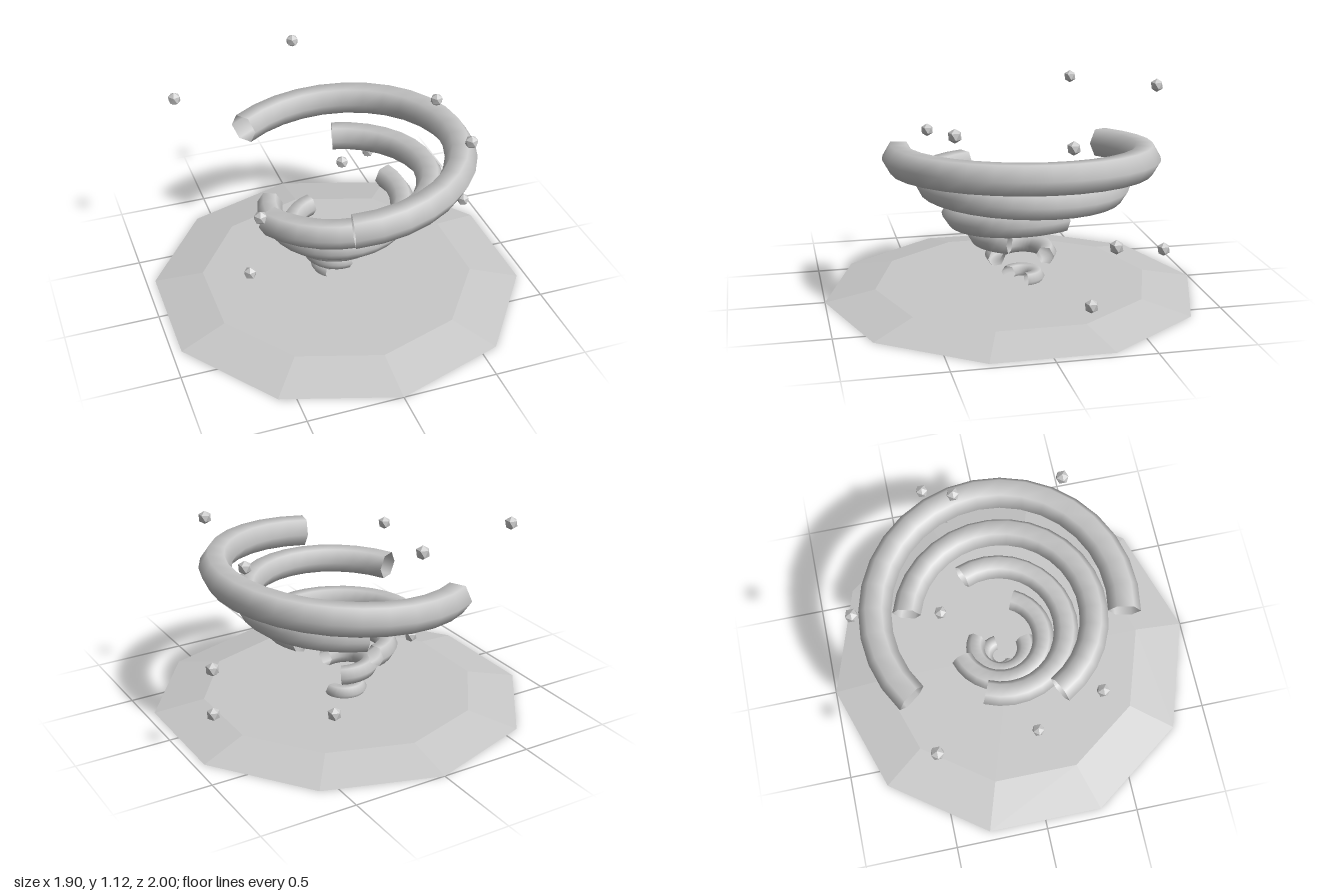
import * as THREE from 'three';

export function createModel() {
  const model = new THREE.Group();
  model.name = 'whirlwind';
  const grey = new THREE.MeshStandardMaterial({ color: 0xc8c8c8, side: THREE.DoubleSide });
  grey.name = 'dust grey';

  const add = (name, geometry, x, y, z, parent = model) => {
    const mesh = new THREE.Mesh(geometry, grey);
    mesh.name = name;
    mesh.position.set(x, y, z);
    parent.add(mesh);
    return mesh;
  };

  // Ten-sided ground slab with sloping, flat-shaded sides
  const slab = new THREE.CylinderGeometry(0.735, 1, 0.053, 10).toNonIndexed();
  slab.computeVertexNormals();
  add('groundSlab', slab, 0, 0.0265, 0);

  // Funnel of open hexagonal tube arcs, each wider and turned further than the one below
  // [ring radius, tube radius, centre x, height, centre z, slope along x, slope along z]
  const rings = [
    [0.08, 0.042, 0, 0.073, -0.057, 0, 0],
    [0.141, 0.051, 0.002, 0.203, -0.05, -0.06, -0.055],
    [0.235, 0.059, 0.008, 0.331, -0.05, 0.015, 0],
    [0.357, 0.067, 0.016, 0.466, -0.05, 0.043, -0.063],
    [0.494, 0.076, 0.02, 0.607, -0.048, 0.022, 0.043],
    [0.643, 0.085, 0.024, 0.743, -0.048, 0.076, 0.019],
  ];
  const funnel = new THREE.Group();
  funnel.name = 'funnel';
  model.add(funnel);
  const rad = THREE.MathUtils.degToRad;
  rings.forEach(([radius, tube, x, y, z, slopeX, slopeZ], i) => {
    const arc = new THREE.TorusGeometry(radius, tube, 6, 20, rad(227));
    arc.rotateX(Math.PI / 2).rotateY(-rad(128 - 50.5 * i));
    const ring = add('funnelRing' + (i + 1), arc, x, y, z, funnel);
    ring.rotation.set(-Math.atan(slopeZ), 0, Math.atan(slopeX));
  });

  // Floating debris, each standing on a corner
  const chunk = new THREE.IcosahedronGeometry(0.036, 0);
  chunk.rotateZ(Math.atan(2 / (1 + Math.sqrt(5))));
  const debris = new THREE.Group();
  debris.name = 'debris';
  model.add(debris);
  [
    [-0.724, 1.008, -0.502], [0.014, 1.086, -0.782], [0.572, 1.001, 0.395],
    [0.628, 0.926, -0.169], [-0.519, 0.779, 0.369], [0.887, 0.506, -0.312],
    [0.441, 0.321, -0.701], [-0.503, 0.206, 0.053], [0.845, 0.203, -0.208],
    [0.153, 0.523, -0.345],
  ].forEach((p, i) => add('debris' + (i + 1), chunk, ...p, debris));

  return model;
}
